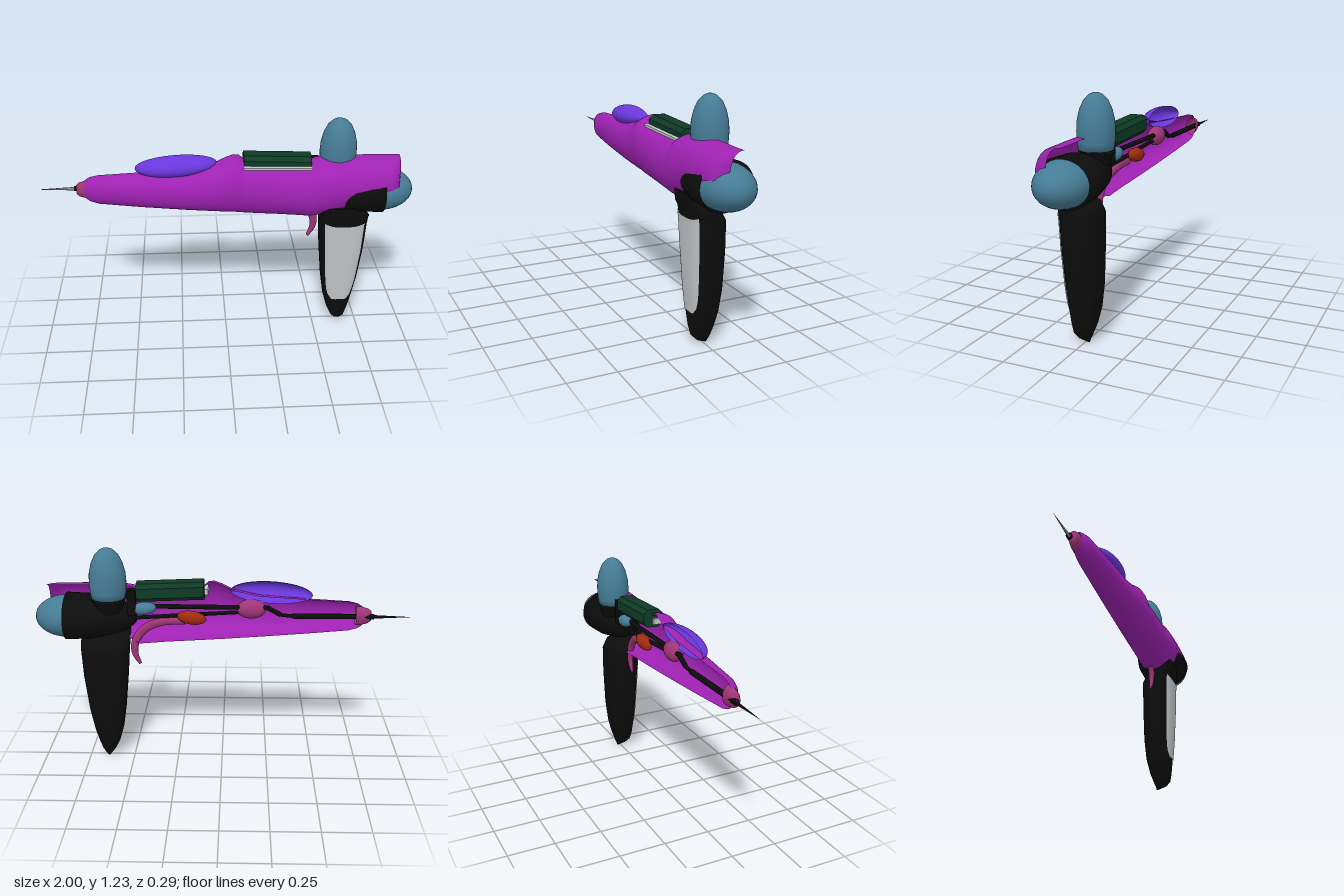
import * as THREE from 'three';

const mat = (name, color, side = THREE.DoubleSide) => {
  const m = new THREE.MeshStandardMaterial({ color, side });
  m.name = name;
  return m;
};

// Grid surface through loops of points: fn(i, j) returns [x, y, z]
function loft(rows, cols, fn) {
  const pos = [], idx = [];
  for (let i = 0; i < rows; i++) for (let j = 0; j <= cols; j++) pos.push(...fn(i, j / cols));
  for (let i = 0; i < rows - 1; i++) for (let j = 0; j < cols; j++) {
    const a = i * (cols + 1) + j, b = a + cols + 1;
    idx.push(a, a + 1, b, b, a + 1, b + 1);
  }
  const g = new THREE.BufferGeometry();
  g.setAttribute('position', new THREE.Float32BufferAttribute(pos, 3));
  g.setIndex(idx);
  g.computeVertexNormals();
  return g;
}

const spow = (v, p) => Math.sign(v) * Math.pow(Math.abs(v), p);

// Linear interpolation in rows keyed by their first number
function sample(rows, key) {
  let i = 0;
  while (i < rows.length - 2 && (rows[i + 1][0] - key) * (rows[0][0] - key) > 0) i++;
  const a = rows[i], b = rows[i + 1], t = (key - a[0]) / (b[0] - a[0]);
  return a.map((v, k) => v + (b[k] - v) * t);
}

export function createModel() {
  const purple = mat('purple shell', 0x9f22b3), teal = mat('teal', 0x467c96);
  const black = mat('black', 0x0c0c0c), light = mat('light grey', 0xc2c6c8);
  const violet = mat('violet glass', 0x6a37dc), pink = mat('pink', 0xa03578);
  const red = mat('red', 0xa02c10), green = mat('dark green', 0x0f3a25);
  const grey = mat('needle grey', 0x858585);

  const model = new THREE.Group();
  const add = (name, geo, material, p = [0, 0, 0], s = [1, 1, 1], rz = 0) => {
    const m = new THREE.Mesh(geo, material);
    m.name = name;
    m.position.set(...p);
    m.scale.set(...s);
    m.rotation.z = rz;
    model.add(m);
    return m;
  };
  const ball = (name, material, p, s, rz = 0) =>
    add(name, new THREE.SphereGeometry(1, 32, 20), material, p, s, rz);
  const box = (name, material, p, s, rz = 0) => add(name, new THREE.BoxGeometry(...s), material, p, [1, 1, 1], rz);
  const rod = (name, material, a, b, r) => {
    const A = new THREE.Vector3(...a), B = new THREE.Vector3(...b);
    return add(name, new THREE.TubeGeometry(new THREE.LineCurve3(A, B), 1, r, 8), material);
  };

  // Body shell, open at the back: x, bottom, top, front depth, start angle
  const shell = [
    [-0.74, 0.815, 0.915, 0.005, 0], [-0.715, 0.798, 0.932, 0.02, 0], [-0.67, 0.785, 0.942, 0.035, 0],
    [-0.45, 0.765, 0.953, 0.062, 0], [-0.2, 0.745, 0.97, 0.085, 0], [-0.06, 0.735, 1.0, 0.097, 0],
    [0.0, 0.73, 1.03, 0.101, 0], [0.04, 0.728, 1.045, 0.104, 0], [0.07, 0.726, 1.043, 0.106, 0],
    [0.1, 0.724, 1.015, 0.108, 0], [0.3, 0.712, 1.005, 0.12, 0], [0.44, 0.7, 1.0, 0.127, 0],
    [0.47, 0.7, 1.02, 0.128, 0.1], [0.52, 0.71, 1.027, 0.13, 0.3], [0.62, 0.73, 1.03, 0.13, 0.7],
    [0.7, 0.74, 1.028, 0.13, 1.3], [0.86, 0.75, 1.025, 0.127, 1.6], [0.9, 0.75, 1.025, 0.105, 1.65],
    [0.92, 0.75, 1.025, 0.04, 1.89],
  ];
  add('bodyShell', loft(shell.length, 32, (i, t) => {
    const [x, yb, yt, zf, a0] = shell[i];
    const a = a0 + (Math.PI - a0) * t, zb = -0.035;
    return [x, (yb + yt) / 2 - Math.cos(a) * (yt - yb) / 2, zb + (zf - zb) * spow(Math.max(0, Math.sin(a)), 0.75)];
  }), purple);

  // Nose cap and needle, grey in front and black behind
  const nose = [[0, 0.2], [0.028, 0.2], [0.04, 0.185], [0.05, 0.15], [0.052, 0.12]].map(p => new THREE.Vector2(p[0], p[1]));
  add('noseCap', new THREE.LatheGeometry(nose, 24, 0, Math.PI * 2), pink, [-0.585, 0.865, -0.027], [1, 1, 0.6], Math.PI / 2);
  [['needleFront', grey, -Math.PI / 2], ['needleBack', black, Math.PI / 2]].forEach(([n, m, start]) =>
    add(n, new THREE.ConeGeometry(0.011, 0.23, 10, 1, true, start, Math.PI), m, [-0.885, 0.864, -0.04], [1, 1, 0.7], Math.PI / 2));

  // Half canopy
  add('canopy', new THREE.SphereGeometry(1, 40, 24, 0, Math.PI), violet, [-0.26, 0.99, -0.035], [0.215, 0.058, 0.085], 0.06);

  // Top box with chamfered long edges, on a light plate
  const c = 0.022, w = 0.055, h = 0.048;
  const section = new THREE.Shape([
    [-w + c, -h], [w - c, -h], [w, -h + c], [w, h - c], [w - c, h], [-w + c, h], [-w, h - c], [-w, -h + c],
  ].map(p => new THREE.Vector2(...p)));
  const sight = new THREE.ExtrudeGeometry(section, { depth: 0.355, bevelEnabled: false });
  sight.translate(0, 0, -0.1775).rotateY(Math.PI / 2);
  add('topBox', sight, green, [0.27, 0.999, -0.025], [1, 1, 1], -0.04);
  box('topBoxPlate', light, [0.265, 0.985, 0.012], [0.385, 0.03, 0.085], -0.03);

  // Rear barrel and teal bulb
  const barrel = [[0.46, 0], [0.46, 0.04], [0.5, 0.08], [0.56, 0.108], [0.64, 0.127], [0.7, 0.14], [0.83, 0.147], [0.83, 0]];
  add('rearBarrel', loft(barrel.length, 40, (i, t) => {
    const [x, r] = barrel[i], a = t * Math.PI * 2;
    return [x, 0.845 + Math.cos(a) * r * 0.85, Math.sin(a) * r];
  }), black);
  ball('rearBulb', teal, [0.825, 0.845, 0.002], [0.172, 0.112, 0.133]);

  // Upright dome on its collar
  const dome = [[0, 0.955], [0.088, 0.955], [0.094, 1.0], [0.097, 1.05], [0.094, 1.1], [0.082, 1.15],
    [0.062, 1.193], [0.035, 1.22], [0.014, 1.229], [0, 1.23]].map(p => new THREE.Vector2(p[0], p[1]));
  add('dome', new THREE.LatheGeometry(dome, 40), teal, [0.595, 0, -0.045], [1, 1, 0.93]);
  add('domeCollar', new THREE.CylinderGeometry(0.092, 0.06, 0.09, 24), black, [0.595, 0.92, -0.045], [1, 1, 0.92]);

  // Grip: y, left, right, front, back
  const grip = [
    [0.78, 0.5, 0.72, 0.112, 0.03], [0.72, 0.5, 0.765, 0.108, 0.02], [0.7, 0.5, 0.768, 0.104, -0.05],
    [0.65, 0.505, 0.767, 0.1, -0.08], [0.5, 0.517, 0.76, 0.094, -0.082], [0.3, 0.538, 0.738, 0.084, -0.08],
    [0.18, 0.557, 0.716, 0.075, -0.07], [0.1, 0.58, 0.697, 0.068, -0.052], [0.05, 0.604, 0.682, 0.06, -0.035],
    [0.025, 0.622, 0.668, 0.035, -0.025], [0.005, 0.643, 0.648, -0.012, -0.02],
  ];
  const onGrip = ([y, l, r, f, b], a, grow = 0) => [
    (l + r) / 2 + spow(Math.cos(a), 0.7) * ((r - l) / 2 + grow), y,
    (f + b) / 2 + spow(Math.sin(a), 0.7) * ((f - b) / 2 + grow)];
  add('grip', loft(grip.length, 32, (i, t) => onGrip(grip[i], t * Math.PI * 2)), black);
  const topRing = grip[0];
  add('gripTop', loft(2, 32, (i, t) => i ? onGrip(topRing, t * Math.PI * 2) : [0.61, 0.78, 0.07]), black);

  // Light inlay following the front of the grip, rounded at the foot
  const N = 16;
  add('gripInlay', loft(N, 16, (i, t) => {
    const v = i / (N - 1), y = 0.68 - 0.5 * v;
    const half = 0.8 * Math.sqrt(1 - Math.pow(v, 14) * 0.8);
    const dip = (1 - v) * 0.015 * Math.sin(t * Math.PI);
    return onGrip(sample(grip, y - dip), Math.PI / 2 + (t * 2 - 1) * half, 0.004);
  }), light);

  // Trigger: a tapering hook
  const hook = new THREE.CatmullRomCurve3([[0.2, 0.83, -0.02], [0.32, 0.82, -0.015], [0.42, 0.77, 0],
    [0.468, 0.7, 0.005], [0.475, 0.63, 0.005], [0.448, 0.568, 0.005]].map(p => new THREE.Vector3(...p)));
  const K = 24;
  add('trigger', loft(K, 12, (i, t) => {
    const u = i / (K - 1), p = hook.getPoint(u), d = hook.getTangent(u), a = t * Math.PI * 2;
    const r = 0.024 * (1 - 0.65 * Math.pow(u, 4));
    return [p.x - d.y * Math.cos(a) * r, p.y + d.x * Math.cos(a) * r, p.z + Math.sin(a) * r * 0.8];
  }), pink);

  // Inner works seen from the open back
  ball('pinkCell', pink, [-0.155, 0.9, -0.03], [0.078, 0.052, 0.043]);
  ball('tealCell', teal, [0.41, 0.905, -0.05], [0.065, 0.034, 0.034], -0.1);
  const gem = new THREE.IcosahedronGeometry(1, 1);
  add('redCell', gem, red, [0.16, 0.855, -0.05], [0.08, 0.038, 0.035], 0.15);
  rod('upperRod', black, [0.48, 0.915, -0.04], [-0.25, 0.91, -0.04], 0.013);
  rod('lowerRod', black, [0.48, 0.845, -0.03], [-0.2, 0.89, -0.035], 0.011);
  rod('rodStep', black, [-0.24, 0.91, -0.04], [-0.31, 0.872, -0.04], 0.013);
  rod('rodLink', black, [-0.3, 0.872, -0.04], [-0.4, 0.862, -0.04], 0.01);
  rod('noseRod', black, [-0.37, 0.865, -0.04], [-0.8, 0.865, -0.04], 0.015);
  box('rodBracket', black, [0.475, 0.94, -0.05], [0.045, 0.14, 0.05]);

  return model;
}
